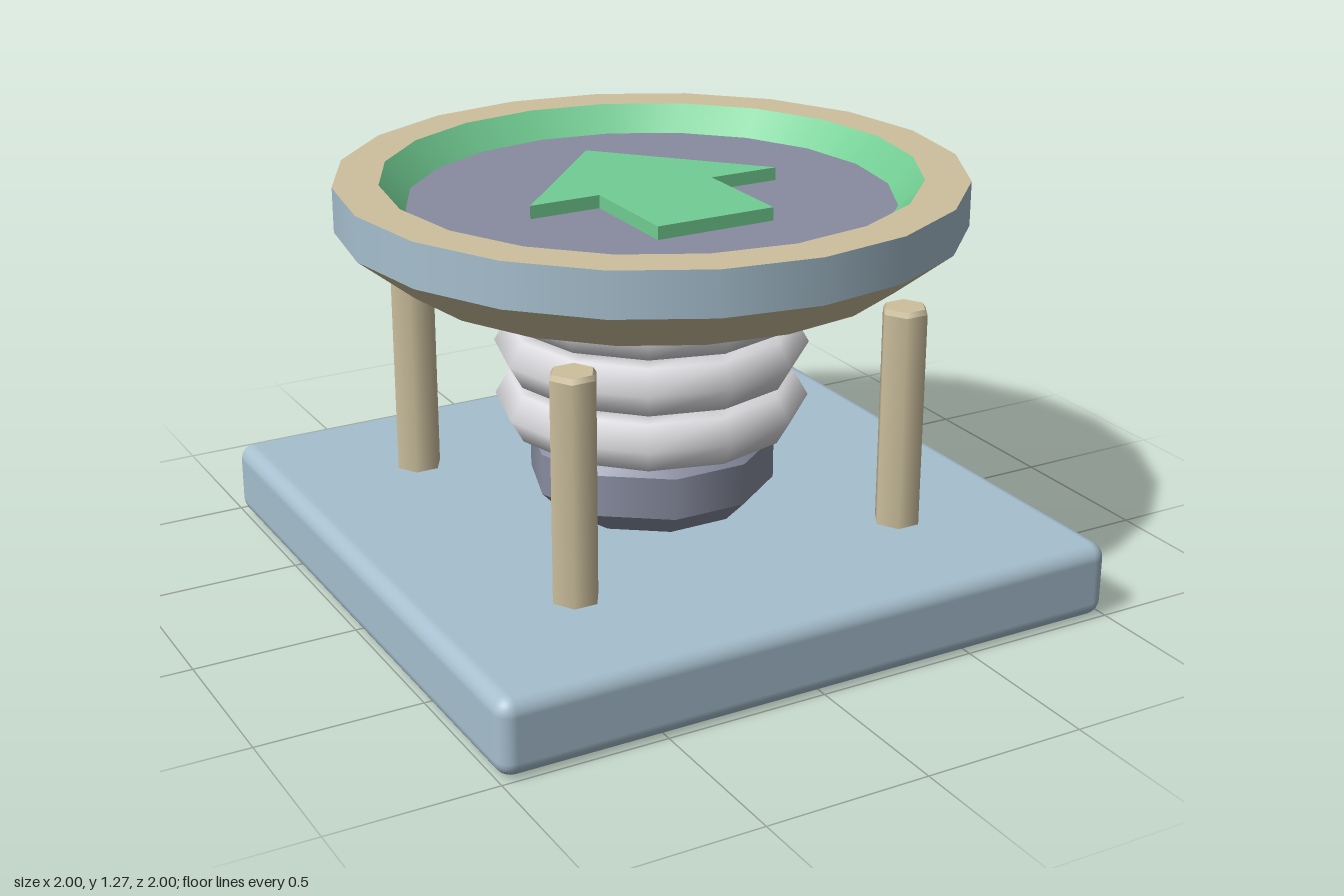
import * as THREE from 'three';
import { mergeGeometries } from 'three/addons/utils/BufferGeometryUtils.js';
import { RoundedBoxGeometry } from 'three/addons/geometries/RoundedBoxGeometry.js';

const material = (name, color) => {
  const m = new THREE.MeshStandardMaterial({ color });
  m.name = name;
  return m;
};

// Revolved profile, smooth around the axis and sharp at every profile point
function turned(profile, sides) {
  const bands = [];
  for (let i = 0; i < profile.length - 1; i++) {
    const pair = [profile[i], profile[i + 1]].map(([r, y]) => new THREE.Vector2(r, y));
    bands.push(new THREE.LatheGeometry(pair, sides, Math.PI / 2));
  }
  return mergeGeometries(bands);
}

export function createModel() {
  const blue = material('pale blue', 0xa6bfce);
  const tan = material('tan', 0xcdc09e);
  const slate = material('slate', 0x888c9f);
  const green = material('green', 0x72cd93);
  const white = material('white', 0xdcdce0);

  const model = new THREE.Group();
  model.name = 'launchPad';
  const add = (name, geometry, mat, x = 0, y = 0, z = 0) => {
    const mesh = new THREE.Mesh(geometry, mat);
    mesh.name = name;
    mesh.position.set(x, y, z);
    model.add(mesh);
  };

  // Base slab
  add('base', new RoundedBoxGeometry(2, 0.235, 2, 3, 0.05), blue, 0, 0.1175, 0);

  // Ten-sided pedestal with bevelled ends
  add('pedestal', turned([
    [0, 0.23], [0.305, 0.23], [0.378, 0.305], [0.378, 0.435], [0.31, 0.5], [0, 0.5],
  ], 10), slate);

  // Spring made of three rings
  const ring = new THREE.TorusGeometry(0.395, 0.084, 6, 12).rotateX(Math.PI / 2);
  [0.563, 0.735, 0.907].forEach((y, i) => add(`springRing${i + 1}`, ring, white, 0, y, 0));

  // Corner posts
  const post = turned([[0.072, 0.22], [0.072, 0.905], [0.063, 0.92], [0, 0.92]], 6);
  for (const x of [-1, 1]) {
    for (const z of [-1, 1]) {
      add(`${z > 0 ? 'front' : 'back'}${x > 0 ? 'Left' : 'Right'}Post`, post, tan, x * 0.547, 0, z * 0.547);
    }
  }

  // Dish: one mesh for each coloured band
  const sides = 20;
  add('dishBottom', turned([[0, 1], [0.77, 1]], sides), slate);
  add('dishUnderside', turned([[0.77, 1], [0.94, 1.135]], sides), tan);
  add('dishSide', turned([[0.94, 1.135], [0.94, 1.27]], sides), blue);
  add('dishRim', turned([[0.94, 1.27], [0.805, 1.27]], sides), tan);
  add('dishInnerWall', turned([[0.805, 1.27], [0.73, 1.19]], sides), green);
  add('dishFloor', turned([[0.73, 1.19], [0, 1.19]], sides), slate);

  // Raised arrow pointing to the back
  const outline = [[0, 0.42], [-0.415, -0.03], [-0.19, -0.03], [-0.19, -0.38],
    [0.19, -0.38], [0.19, -0.03], [0.415, -0.03]];
  const arrow = new THREE.ExtrudeGeometry(
    new THREE.Shape(outline.map(([x, y]) => new THREE.Vector2(x, y))),
    { depth: 0.04, bevelEnabled: false },
  ).rotateX(-Math.PI / 2);
  add('arrow', arrow, green, 0, 1.19, 0);

  return model;
}
